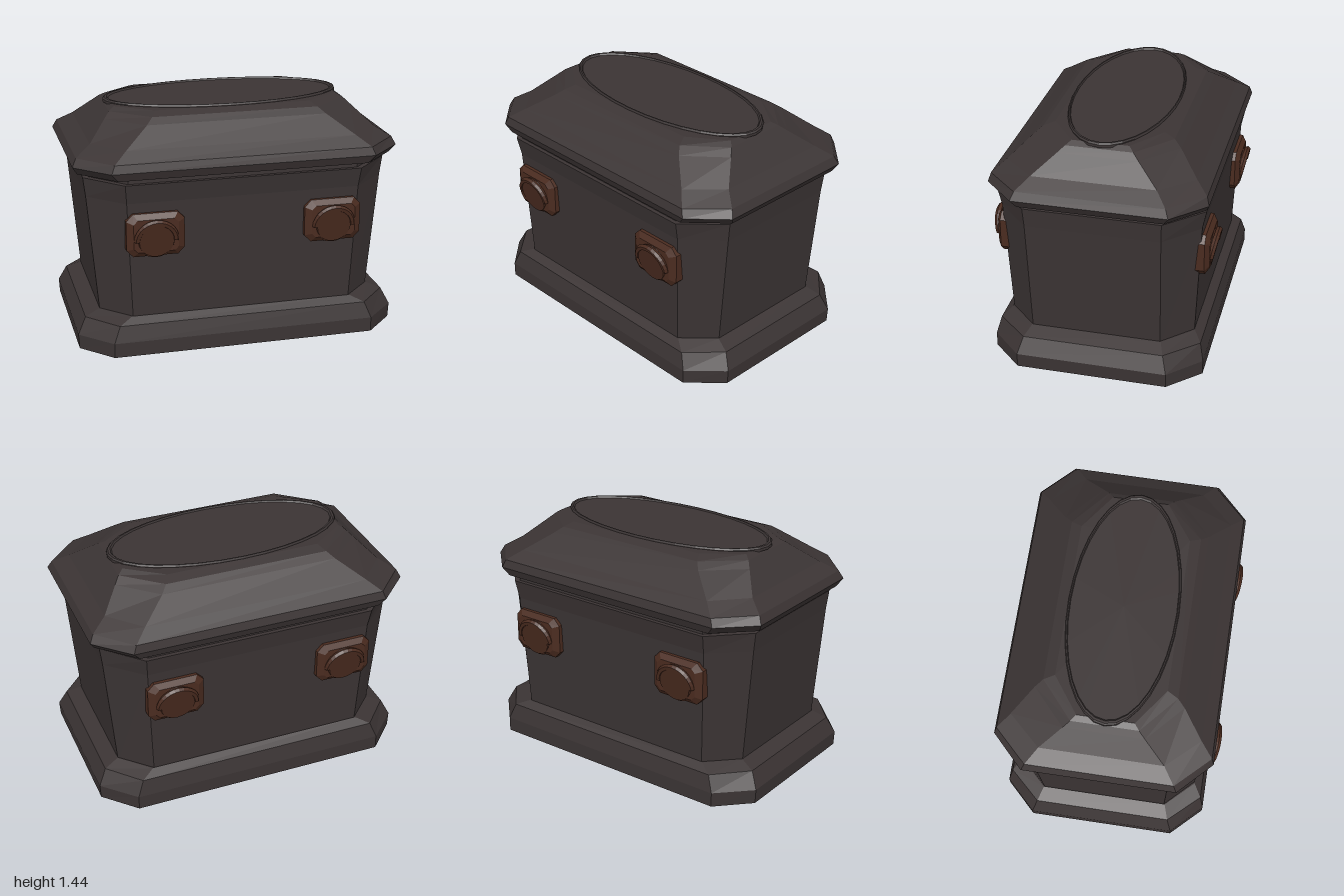
import * as THREE from 'three';

// Chamfered rectangle: half width, half depth, half length of front flat, half length of side flat
const octagon = (hx, hz, fx, fz) => [
  [fx, hz], [hx, fz], [hx, -fz], [fx, -hz], [-fx, -hz], [-hx, -fz], [-hx, fz], [-fx, hz],
];

// Stack of chamfered rectangles [y, hx, hz, fx, fz], closed at both ends
function loft(rows) {
  const pos = [];
  const rings = rows.map(([y, ...s]) => octagon(...s).map(([x, z]) => [x, y, z]));
  const tri = (a, b, c) => pos.push(...a, ...b, ...c);
  for (let r = 0; r < rings.length - 1; r++) {
    for (let i = 0; i < 8; i++) {
      const j = (i + 1) % 8, lo = rings[r], hi = rings[r + 1];
      tri(lo[i], lo[j], hi[j]);
      tri(lo[i], hi[j], hi[i]);
    }
  }
  const bottom = rings[0], top = rings[rings.length - 1];
  for (let i = 1; i < 7; i++) {
    tri(top[0], top[i], top[i + 1]);
    tri(bottom[0], bottom[i + 1], bottom[i]);
  }
  const g = new THREE.BufferGeometry();
  g.setAttribute('position', new THREE.Float32BufferAttribute(pos, 3));
  g.computeVertexNormals();
  return g;
}

export function createModel() {
  const model = new THREE.Group();
  model.name = 'casket';

  const stone = new THREE.MeshStandardMaterial({ color: 0x3b3434, flatShading: true });
  stone.name = 'dark stone';
  const copper = new THREE.MeshStandardMaterial({ color: 0x4a2b1f, flatShading: true });
  copper.name = 'aged copper';

  const add = (parent, name, geometry, material) => {
    const mesh = new THREE.Mesh(geometry, material);
    mesh.name = name;
    parent.add(mesh);
    return mesh;
  };

  // Stepped foot
  add(model, 'base', loft([
    [0, 0.995, 0.65, 0.81, 0.46],
    [0.09, 1, 0.65, 0.81, 0.46],
    [0.19, 0.95, 0.625, 0.77, 0.43],
    [0.225, 0.86, 0.575, 0.69, 0.4],
  ]), stone);

  // Chest widening upwards to a flared rim
  add(model, 'body', loft([
    [0.2, 0.855, 0.57, 0.68, 0.395],
    [0.95, 0.92, 0.605, 0.71, 0.405],
    [1.07, 0.935, 0.63, 0.72, 0.41],
  ]), stone);
  add(model, 'neck', loft([
    [1.06, 0.9, 0.605, 0.7, 0.4],
    [1.11, 0.9, 0.605, 0.7, 0.4],
  ]), stone);

  // Hipped lid with overhanging lip
  add(model, 'lid', loft([
    [1.1, 0.97, 0.635, 0.76, 0.43],
    [1.15, 1, 0.655, 0.8, 0.46],
    [1.2, 0.975, 0.64, 0.78, 0.44],
    [1.26, 0.88, 0.565, 0.7, 0.37],
    [1.37, 0.77, 0.44, 0.55, 0.24],
    [1.405, 0.735, 0.395, 0.51, 0.2],
    [1.427, 0.7, 0.33, 0.48, 0.17],
  ]), stone);

  // Oval panel with a raised rim
  const profile = [[1, 1.415], [1, 1.432], [0.988, 1.441], [0.968, 1.441], [0.955, 1.431], [0, 1.431]]
    .map(([x, y]) => new THREE.Vector2(x, y));
  const oval = add(model, 'ovalPanel', new THREE.LatheGeometry(profile, 32), stone);
  oval.scale.set(0.74, 1, 0.33);

  // Handle: chamfered plate, tilted boss and arched grip
  function makeHandle() {
    const handle = new THREE.Group();
    const plate = add(handle, 'handlePlate', loft([
      [-0.03, 0.175, 0.132, 0.135, 0.09],
      [0.03, 0.175, 0.132, 0.135, 0.09],
      [0.055, 0.135, 0.1, 0.11, 0.075],
    ]), copper);
    plate.rotation.x = Math.PI / 2;

    const drop = new THREE.Group();
    drop.name = 'handleDrop';
    drop.position.set(0, -0.025, 0.045);
    drop.rotation.x = 0.2;
    const boss = add(drop, 'handleBoss', new THREE.CylinderGeometry(0.105, 0.125, 0.05, 20), copper);
    boss.rotation.x = Math.PI / 2;
    const grip = add(drop, 'handleGrip', new THREE.TorusGeometry(0.115, 0.02, 6, 14, Math.PI), copper);
    grip.position.z = 0.012;
    const lower = add(drop, 'handleLowerRim', new THREE.TorusGeometry(0.11, 0.014, 6, 14, Math.PI), copper);
    lower.rotation.z = Math.PI;
    handle.add(drop);
    return handle;
  }

  for (const face of [1, -1]) {
    for (const side of [1, -1]) {
      const handle = makeHandle();
      handle.name = (face > 0 ? 'front' : 'back') + (side > 0 ? 'Left' : 'Right') + 'Handle';
      handle.position.set(side * 0.545, 0.757, face * 0.593);
      handle.rotation.y = face > 0 ? 0 : Math.PI;
      model.add(handle);
    }
  }

  return model;
}
